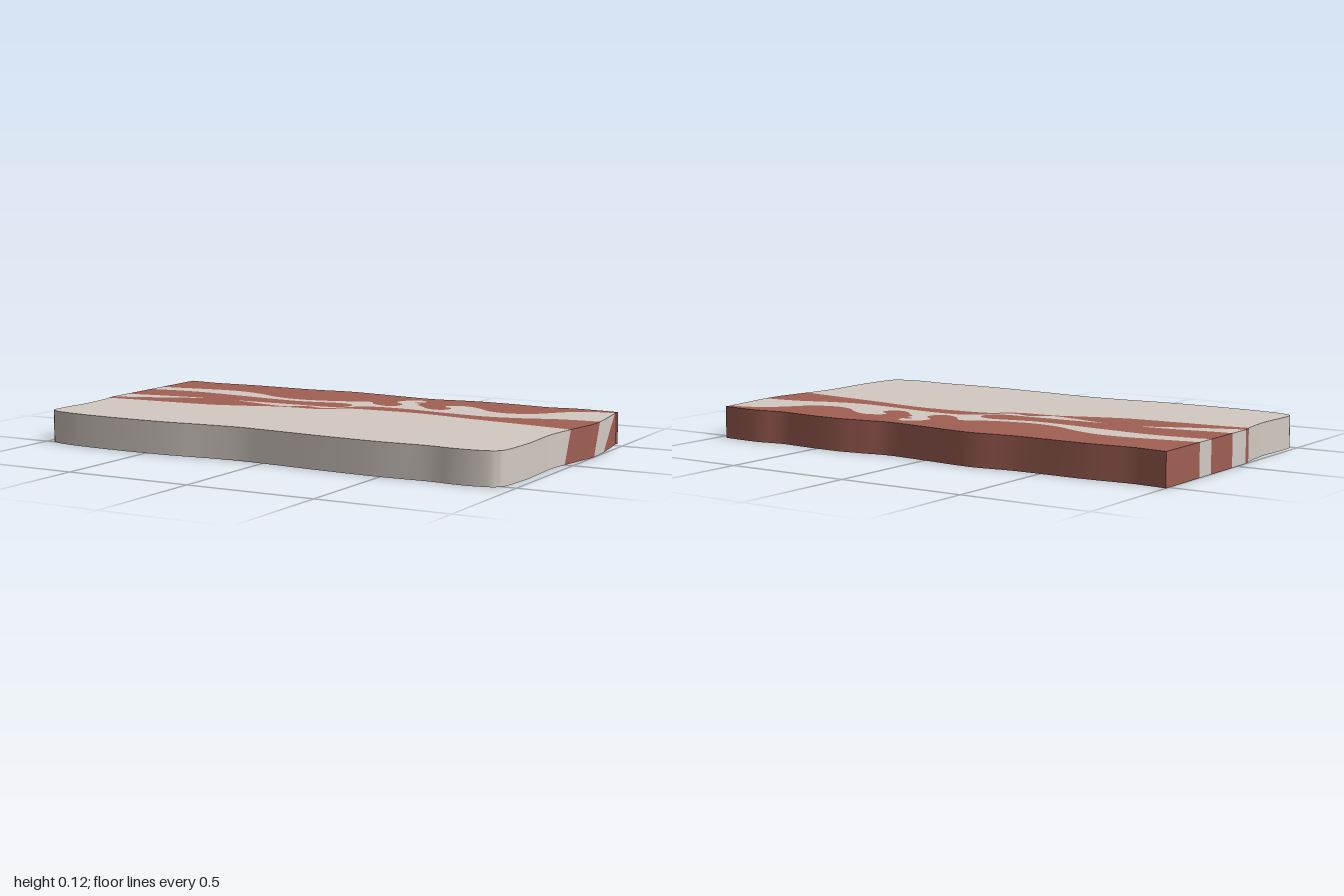
import * as THREE from 'three';
import { toCreasedNormals } from 'three/addons/utils/BufferGeometryUtils.js';

const HEIGHT = 0.125;

// right-hand rim of the slab as [z, x] knots
const RIM = [[-0.53, 0.962], [-0.485, 0.97], [-0.32, 0.992], [-0.25, 0.998], [-0.18, 0.997],
  [-0.045, 0.975], [0.03, 0.964], [0.11, 0.957], [0.2, 0.96], [0.32, 0.965], [0.45, 0.958]];

function rimX(z) {
  let i = 1;
  while (i < RIM.length - 1 && z > RIM[i][0]) i++;
  const [z0, x0] = RIM[i - 1], [z1, x1] = RIM[i];
  return THREE.MathUtils.mapLinear(z, z0, z1, x0, x1);
}

// smooth curve of { top, bottom } points; with bottomEnd the lower copy drifts to that z at the right rim
function curve(knots, bottomEnd) {
  const points = new THREE.SplineCurve(knots.map(([x, z]) => new THREE.Vector2(x, z)))
    .getPoints((knots.length - 1) * 4);
  return points.map((top, i) => {
    const bottom = top.clone();
    if (bottomEnd !== undefined) {
      const last = i === points.length - 1;
      bottom.y = THREE.MathUtils.lerp(top.y, bottomEnd, last ? 1 : THREE.MathUtils.smoothstep(top.x, 0.62, 0.9));
      if (top.x > 0.9) bottom.x = last ? rimX(bottom.y) : Math.min(top.x, rimX(bottom.y));
    }
    return { top, bottom };
  });
}

// stretch of the right rim between two heights of z, given for top and bottom
function rim(t0, t1, b0, b1) {
  return Array.from({ length: 11 }, (_, i) => {
    const at = (a, b) => {
      const z = THREE.MathUtils.lerp(a, b, i / 10);
      return new THREE.Vector2(rimX(z), z);
    };
    return { top: at(t0, t1), bottom: at(b0, b1) };
  });
}

const back = (c) => [...c].reverse();

// solid with a top cap, a bottom cap and ruled walls from joined curves
function solid(name, material, ...curves) {
  const joined = curves.flat();
  let loop = joined.filter((p, i) => p.top.distanceTo(joined[(i + 1) % joined.length].top) > 1e-5);
  if (THREE.ShapeUtils.isClockWise(loop.map((p) => p.top))) loop = back(loop);
  const tops = loop.map((p) => p.top), bottoms = loop.map((p) => p.bottom);
  const pos = [];
  const put = (p, y) => pos.push(p.x, y, p.y);

  const cap = (ring, y, up) => {
    for (const [a, b, c] of THREE.ShapeUtils.triangulateShape([...ring], [])) {
      const flip = (THREE.ShapeUtils.area([ring[a], ring[b], ring[c]]) > 0) === up;
      for (const k of flip ? [a, c, b] : [a, b, c]) put(ring[k], y);
    }
  };
  cap(tops, HEIGHT, true);
  cap(bottoms, 0, false);

  for (let i = 0; i < loop.length; i++) {
    const j = (i + 1) % loop.length;
    put(tops[i], HEIGHT); put(tops[j], HEIGHT); put(bottoms[j], 0);
    put(tops[i], HEIGHT); put(bottoms[j], 0); put(bottoms[i], 0);
  }
  const geometry = new THREE.BufferGeometry();
  geometry.setAttribute('position', new THREE.Float32BufferAttribute(pos, 3));
  const mesh = new THREE.Mesh(toCreasedNormals(geometry, 0.6), material);
  mesh.name = name;
  return mesh;
}

export function createModel() {
  const meat = new THREE.MeshStandardMaterial({ color: 0xa05f54 });
  meat.name = 'meat red';
  const fat = new THREE.MeshStandardMaterial({ color: 0xd3cac2 });
  fat.name = 'fat cream';

  // wavy back rim, left to right
  const backRim = curve([[-1, -0.52], [-0.92, -0.513], [-0.85, -0.51], [-0.67, -0.525], [-0.4, -0.526],
    [-0.22, -0.548], [-0.02, -0.53], [0.17, -0.513], [0.28, -0.53], [0.4, -0.545], [0.55, -0.54],
    [0.68, -0.53], [0.8, -0.548], [0.955, -0.54], [0.962, -0.53]]);

  // wavy front rim, right to left, with rounded corners
  const frontRim = curve([[0.965, 0.32], [0.955, 0.47], [0.93, 0.52], [0.86, 0.54], [0.78, 0.543],
    [0.68, 0.535], [0.48, 0.543], [0.24, 0.532], [0, 0.513], [-0.1, 0.508], [-0.24, 0.517],
    [-0.4, 0.535], [-0.61, 0.54], [-0.83, 0.53], [-0.96, 0.5], [-0.98, 0.43], [-0.973, 0.27],
    [-0.985, 0.14], [-0.99, 0.107]]);

  // border of the back meat, with two curling fingers of fat
  const backSeam = curve([[-1, -0.285], [-0.93, -0.295], [-0.85, -0.31], [-0.72, -0.33], [-0.61, -0.33],
    [-0.505, -0.3], [-0.4, -0.255], [-0.29, -0.24], [-0.185, -0.255], [-0.105, -0.28], [-0.065, -0.3],
    [-0.025, -0.32], [0.01, -0.31], [0.035, -0.275], [0.085, -0.25], [0.125, -0.25], [0.145, -0.28],
    [0.14, -0.325], [0.1, -0.355], [0.095, -0.395], [0.125, -0.435], [0.16, -0.45], [0.19, -0.435],
    [0.195, -0.405], [0.167, -0.4], [0.167, -0.38], [0.2, -0.365], [0.2, -0.335], [0.23, -0.31],
    [0.27, -0.27], [0.31, -0.25], [0.35, -0.26], [0.365, -0.29], [0.355, -0.32], [0.325, -0.335],
    [0.32, -0.365], [0.365, -0.39], [0.415, -0.385], [0.47, -0.355], [0.52, -0.315], [0.59, -0.297],
    [0.66, -0.31], [0.715, -0.345], [0.76, -0.4], [0.805, -0.45], [0.87, -0.49], [0.93, -0.505],
    [rimX(-0.505), -0.505]], -0.33);

  // rounded tongue of the middle meat
  const tongue = curve([[-1, -0.2], [-0.93, -0.215], [-0.77, -0.23], [-0.585, -0.217], [-0.4, -0.2],
    [-0.265, -0.195], [-0.16, -0.215], [-0.09, -0.228], [-0.035, -0.215], [-0.015, -0.18],
    [-0.03, -0.137], [-0.065, -0.115], [-0.12, -0.108], [-0.2, -0.106], [-0.35, -0.097],
    [-0.45, -0.092], [-0.505, -0.088]]);
  const middleSeam = curve([[-0.505, -0.088], [-0.45, -0.078], [-0.355, -0.055], [-0.265, -0.04],
    [-0.22, -0.047], [-0.2, -0.075], [-0.16, -0.088], [-0.105, -0.072], [-0.065, -0.075],
    [-0.035, -0.11], [0.015, -0.17], [0.065, -0.2], [0.135, -0.21], [0.24, -0.208], [0.4, -0.19],
    [0.565, -0.18], [0.7, -0.205], [0.83, -0.25], [0.94, -0.267], [rimX(-0.27), -0.27]], -0.215);

  // border between meat and the broad front fat
  const frontSeam = curve([[-0.99, 0.107], [-0.9, 0.095], [-0.72, 0.083], [-0.53, 0.067], [-0.425, 0.04],
    [-0.32, 0.003], [-0.265, -0.018], [-0.185, -0.03], [-0.105, -0.035], [-0.05, -0.06],
    [-0.01, -0.093], [0.04, -0.115], [0.165, -0.125], [0.295, -0.13], [0.43, -0.115],
    [0.565, -0.093], [0.78, -0.067], [rimX(-0.04), -0.04]], 0);

  // pointed wedge of fat on the left
  const wedgeBack = curve([[-1, -0.04], [-0.93, -0.045], [-0.85, -0.06], [-0.72, -0.08], [-0.645, -0.085]]);
  const wedgeFront = curve([[-0.645, -0.085], [-0.72, -0.05], [-0.85, 0.008], [-0.93, 0.04], [-1, 0.065]]);

  const slab = new THREE.Group();
  slab.name = 'meatSlab';
  slab.add(
    solid('backMeat', meat, backRim, rim(-0.53, -0.505, -0.53, -0.33), back(backSeam)),
    solid('marblingFat', fat, backSeam, rim(-0.505, -0.27, -0.33, -0.215), back(middleSeam), back(tongue)),
    solid('middleMeat', meat, tongue, middleSeam, rim(-0.27, -0.04, -0.215, 0), back(frontSeam),
      back(wedgeFront), back(wedgeBack)),
    solid('wedgeFat', fat, wedgeBack, wedgeFront),
    solid('frontFat', fat, frontSeam, rim(-0.04, 0.32, 0, 0.32), frontRim),
  );
  return slab;
}
